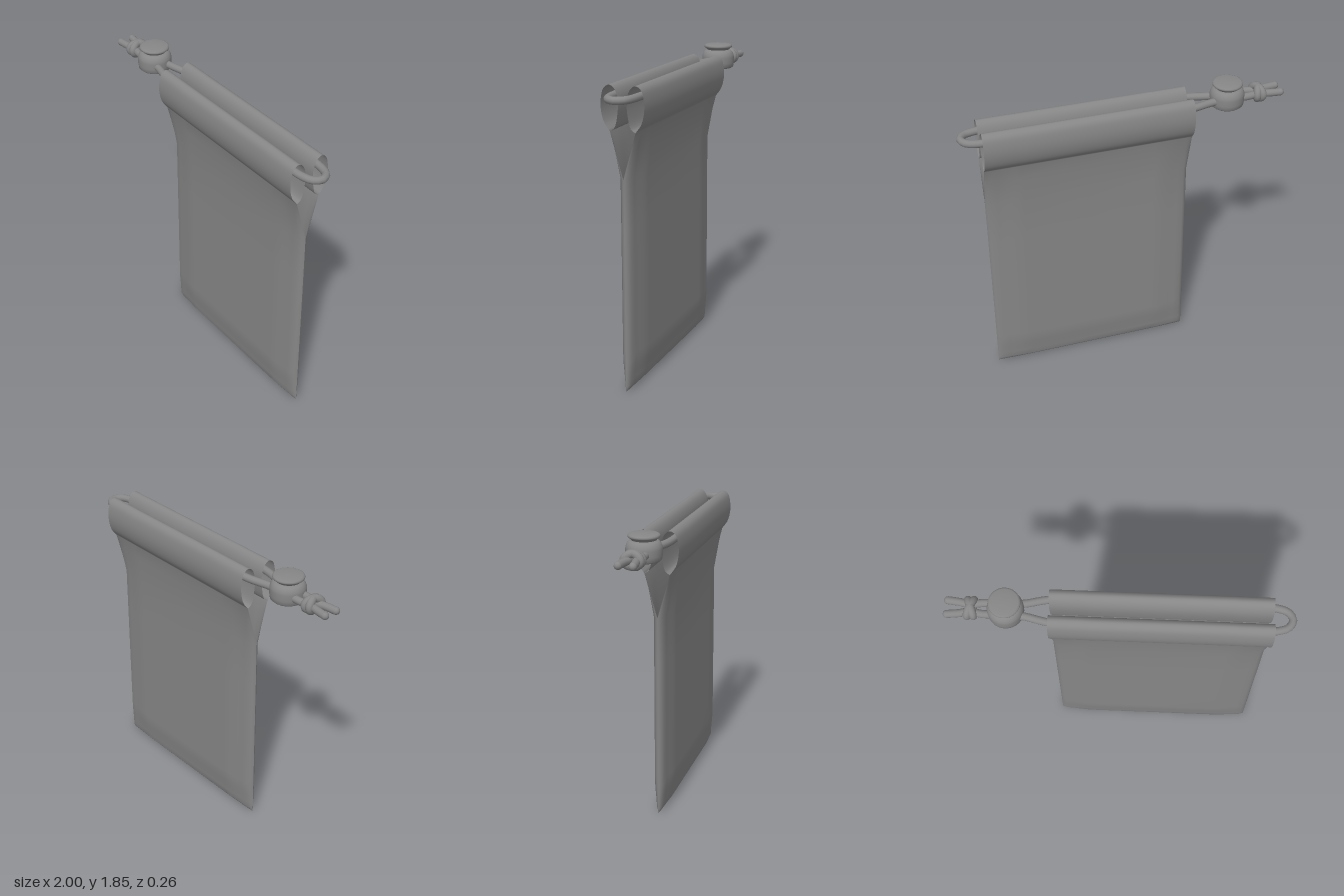
import * as THREE from 'three';

const grey = new THREE.MeshStandardMaterial({ color: 0x868686 });
const cloth = new THREE.MeshStandardMaterial({ color: 0x868686, side: THREE.DoubleSide });
const HALF_W = 0.637, BAG_X = 0.231, SPLIT_Y = 1.28, HEM_Y = 1.55, HEM_Z = 0.077, CORD_Y = 1.744;

function mesh(name, geometry, material = grey) {
  const m = new THREE.Mesh(geometry, material);
  m.name = name;
  return m;
}

// Half thickness of the pouch at distance d from a seam
function puff(d) {
  return 0.03 * Math.min(d / 0.03, 1) ** 0.6 + 0.02 * THREE.MathUtils.smoothstep(d, 0.01, 0.22);
}

// One cloth wall: pinched at the seams, flaring above the split, then rolled into an open cord channel
function wallGeometry() {
  const steps = [0, 0.004, 0.012, 0.03, 0.07, 0.11, 0.15, 0.19, 0.23];
  const xs = [...steps.map(d => d - HALF_W), 0, ...steps.map(d => HALF_W - d).reverse()];
  const ys = [...steps, 0.6, 1.0, SPLIT_Y, 1.46, HEM_Y];
  const roll = new THREE.CatmullRomCurve3([
    [1.55, HEM_Z], [1.6, 0.112], [1.67, 0.13], [1.74, 0.128], [1.79, 0.112], [1.81, 0.08],
    [1.793, 0.05], [1.74, 0.028], [1.65, 0.03], [1.57, 0.05], [1.55, HEM_Z],
  ].map(([y, z]) => new THREE.Vector3(0, y, z))).getPoints(40).slice(1);
  const rows = ys.length + roll.length;
  const g = new THREE.PlaneGeometry(1, 1, xs.length - 1, rows - 1);
  const position = g.attributes.position;
  for (let j = 0; j < rows; j++) {
    xs.forEach((x, i) => {
      const index = (rows - 1 - j) * xs.length + i;
      if (j >= ys.length) {
        const p = roll[j - ys.length];
        position.setXYZ(index, x, p.y, p.z);
        return;
      }
      const flare = Math.max(0, (ys[j] - SPLIT_Y) / (HEM_Y - SPLIT_Y));
      const t = puff(HALF_W - Math.abs(x)) * puff(ys[j]) / 0.05;
      position.setXYZ(index, x, ys[j], THREE.MathUtils.lerp(t, HEM_Z, flare));
    });
  }
  g.computeVertexNormals();
  return g;
}

// Doubled cord, bent round at the left end
function cord() {
  const group = new THREE.Group();
  group.name = 'drawCord';
  const side = [[-0.98, 0.042], [-0.91, 0.034], [-0.85, 0.022], [-0.78, 0.034], [-0.65, 0.032],
    [-0.55, 0.038], [-0.4, 0.07], [-0.2, 0.078], [0.3, 0.078], [0.8, 0.076], [0.9, 0.066], [0.95, 0.046]];
  const points = [...side, [0.975, 0], ...side.map(([x, z]) => [x, -z]).reverse()]
    .map(([x, z]) => new THREE.Vector3(x, CORD_Y, z));
  const curve = new THREE.CatmullRomCurve3(points);
  group.add(mesh('cord', new THREE.TubeGeometry(curve, 160, 0.023, 12)));
  for (const s of [1, -1]) {
    const end = mesh('cordEnd', new THREE.SphereGeometry(0.023, 12, 8));
    end.position.set(-0.98, CORD_Y, s * 0.042);
    group.add(end);
  }
  return group;
}

// Two crossed loops wrapped round the cord
function knot() {
  const group = new THREE.Group();
  group.name = 'knot';
  for (const s of [1, -1]) {
    const loop = mesh('knotLoop', new THREE.TorusGeometry(0.038, 0.024, 12, 28));
    loop.rotation.y = Math.PI / 2 + s * 0.36;
    loop.scale.set(1.2, 0.96, 1);
    group.add(loop);
  }
  group.position.set(-0.848, CORD_Y, 0);
  return group;
}

// Barrel cord lock with a push button
function toggle() {
  const group = new THREE.Group();
  group.name = 'cordLock';
  const lathe = pts => new THREE.LatheGeometry(pts.map(p => new THREE.Vector2(...p)), 36);
  group.add(mesh('lockBody', lathe([[0, 1.69], [0.07, 1.691], [0.09, 1.694], [0.101, 1.704], [0.105, 1.73],
    [0.105, 1.765], [0.103, 1.78], [0.096, 1.796], [0.086, 1.807], [0.07, 1.815], [0, 1.817]])));
  group.add(mesh('lockButton', lathe([[0, 1.808], [0.07, 1.81], [0.076, 1.82], [0.09, 1.83], [0.092, 1.836],
    [0.09, 1.844], [0.08, 1.849], [0.04, 1.853], [0, 1.854]])));
  group.position.x = -0.65;
  return group;
}

export function createModel() {
  const model = new THREE.Group();
  model.name = 'drawstringPouch';
  const geometry = wallGeometry();
  for (const name of ['front', 'back']) {
    const wall = mesh(name + 'Wall', geometry, cloth);
    wall.position.x = BAG_X;
    if (name === 'back') wall.rotation.y = Math.PI;
    model.add(wall);
  }
  model.add(cord(), knot(), toggle());
  return model;
}
